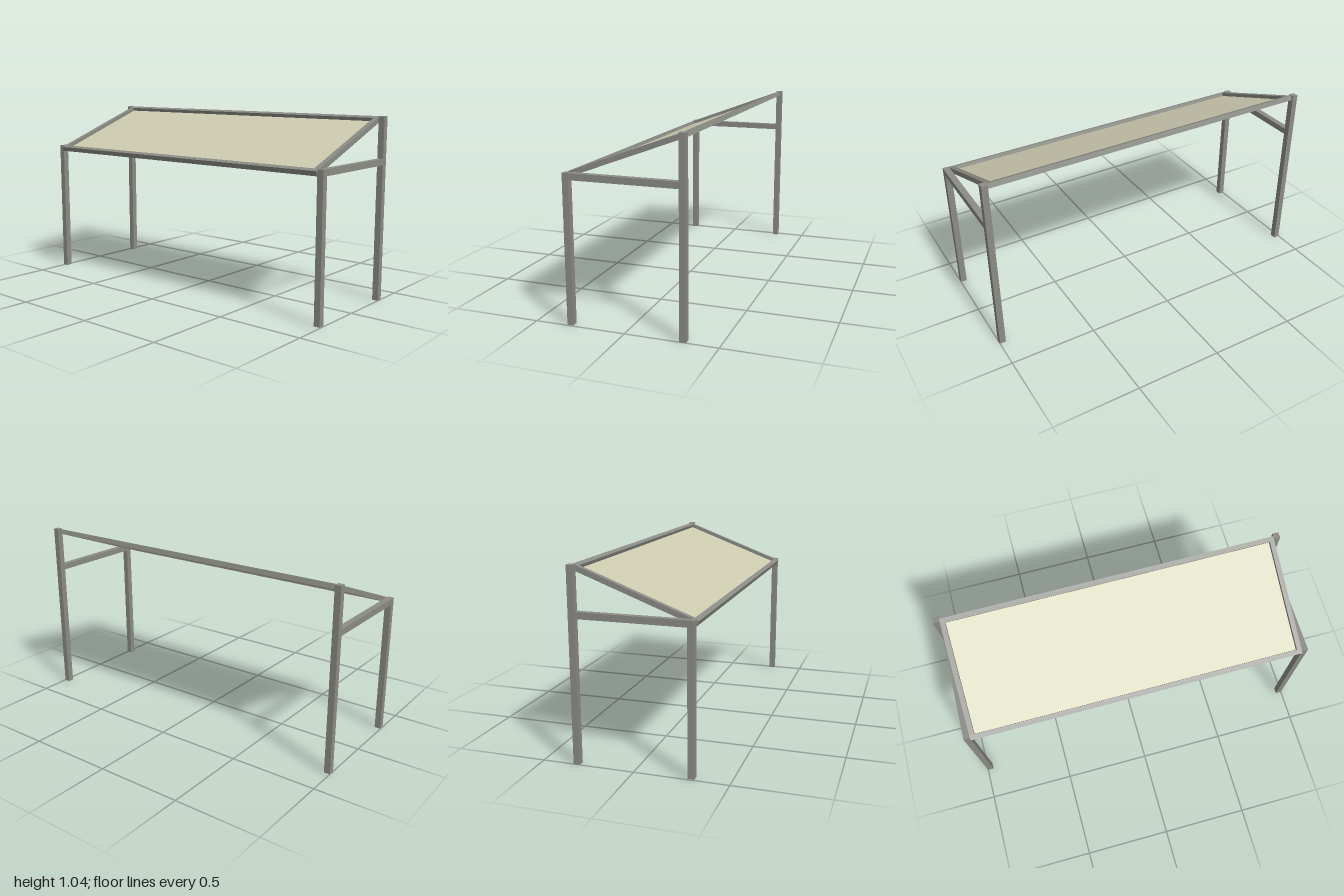
import * as THREE from 'three';

export function createModel() {
  const model = new THREE.Group();
  model.name = 'leanToCanopy';
  const metal = new THREE.MeshStandardMaterial({ color: 0x8b8c85 });
  metal.name = 'grey metal';
  const sheet = new THREE.MeshStandardMaterial({ color: 0xcdcbb0 });
  sheet.name = 'cream sheet';

  // Box given by its min and max corners
  const box = (name, parent, mat, [x0, y0, z0], [x1, y1, z1]) => {
    const mesh = new THREE.Mesh(new THREE.BoxGeometry(x1 - x0, y1 - y0, z1 - z0), mat);
    mesh.position.set((x0 + x1) / 2, (y0 + y1) / 2, (z0 + z1) / 2);
    mesh.name = name;
    parent.add(mesh);
  };

  // Posts and level tie beam at each end
  for (const [end, z0, z1] of [['front', 0.965, 1], ['back', -1, -0.965]]) {
    box(end + 'LowPost', model, metal, [-0.32, 0.004, z0], [-0.285, 0.805, z1]);
    box(end + 'HighPost', model, metal, [0.295, 0, z0], [0.33, 1.037, z1]);
    box(end + 'TieBeam', model, metal, [-0.285, 0.77, z0], [0.295, 0.805, z1]);
  }

  // Sloping roof frame, origin at its upper low-side edge
  const roof = new THREE.Group();
  roof.name = 'roof';
  roof.position.set(-0.331, 0.796, 0);
  roof.rotation.z = Math.atan2(0.241, 0.644);
  model.add(roof);
  const L = 0.688, T = 0.028, Z = 0.965;
  box('lowRail', roof, metal, [0, -T, -Z], [T, 0, Z]);
  box('highRail', roof, metal, [L - T, -T, -Z], [L, 0, Z]);
  box('frontRafter', roof, metal, [T, -T, Z - T], [L - T, 0, Z]);
  box('backRafter', roof, metal, [T, -T, -Z], [L - T, 0, T - Z]);

  // Recessed roof sheet
  box('roofSheet', roof, sheet, [T, -0.026, T - Z], [L - T, -0.02, Z - T]);
  return model;
}
